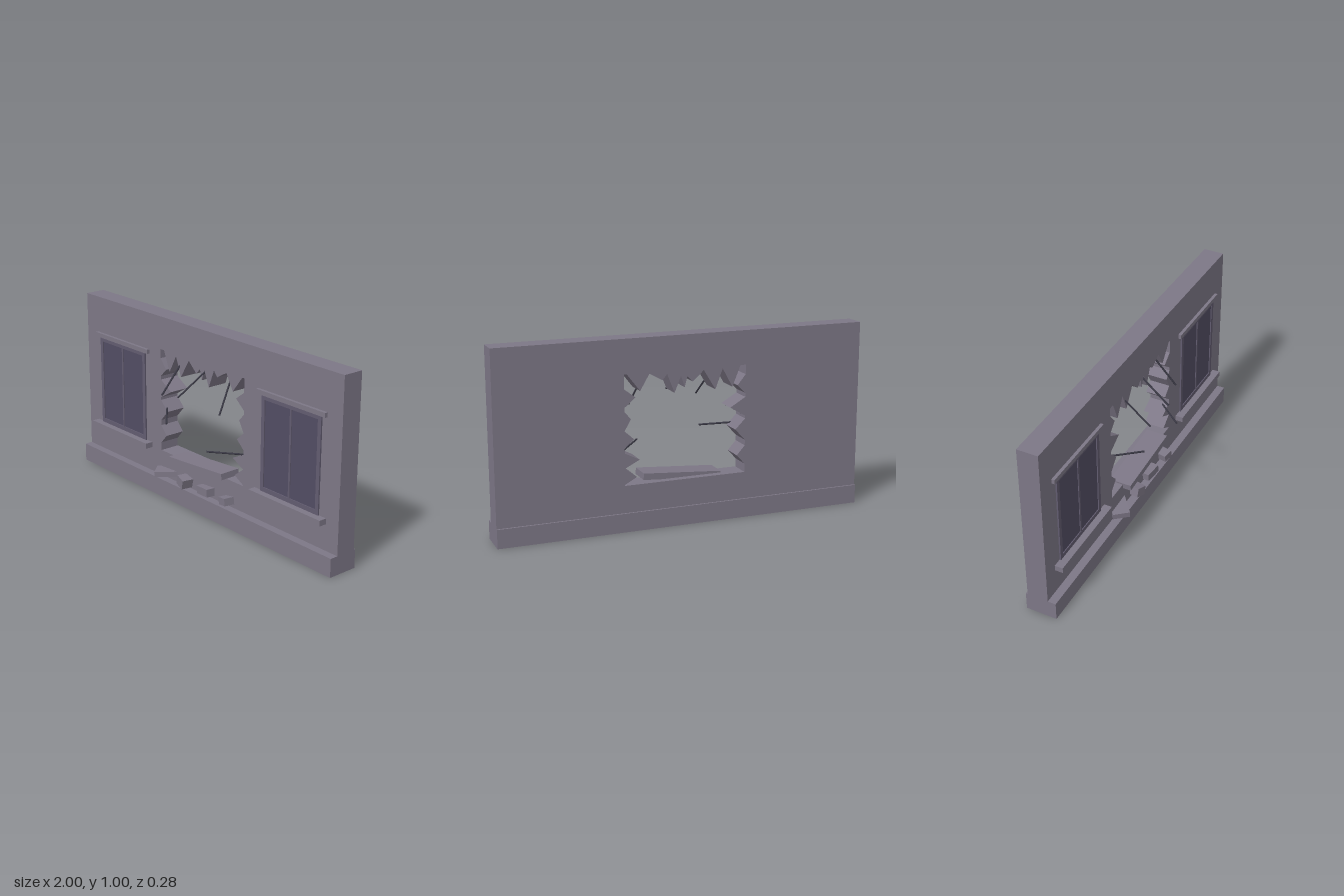
import * as THREE from 'three';

const mat = (name, color) => {
  const m = new THREE.MeshStandardMaterial({ color });
  m.name = name;
  return m;
};

export function createModel() {
  const root = new THREE.Group();
  root.name = 'breachedWall';
  const stone = mat('greyStone', 0x7d7786);
  const frameMat = mat('windowFrame', 0x625c70);
  const glassMat = mat('darkGlass', 0x524d63);
  const iron = mat('darkIron', 0x3a3945);

  const add = (name, geo, material, parent = root) => {
    const m = new THREE.Mesh(geo, material);
    m.name = name;
    parent.add(m);
    return m;
  };
  // Box given by its minimum and maximum on each axis
  const box = (name, [x0, x1], [y0, y1], [z0, z1], material, parent) => {
    const m = add(name, new THREE.BoxGeometry(x1 - x0, y1 - y0, z1 - z0), material, parent);
    m.position.set((x0 + x1) / 2, (y0 + y1) / 2, (z0 + z1) / 2);
    return m;
  };

  // Wall with a jagged breach
  const wall = new THREE.Shape();
  wall.moveTo(-1, 0.05).lineTo(1, 0.05).lineTo(1, 1).lineTo(-1, 1).closePath();
  const breach = [
    // left edge, going up
    [-0.335, 0.245], [-0.335, 0.29], [-0.29, 0.34], [-0.335, 0.39], [-0.335, 0.42],
    [-0.28, 0.48], [-0.335, 0.535], [-0.335, 0.55], [-0.25, 0.6], [-0.335, 0.65],
    [-0.335, 0.67], [-0.29, 0.715], [-0.335, 0.77], [-0.335, 0.82],
    // top edge, going right
    [-0.305, 0.82], [-0.26, 0.71], [-0.205, 0.81], [-0.165, 0.705], [-0.1, 0.81],
    [-0.04, 0.755], [-0.01, 0.785], [0.005, 0.73], [0.025, 0.79], [0.06, 0.705],
    [0.1, 0.805], [0.125, 0.775], [0.195, 0.815], [0.245, 0.73], [0.315, 0.82], [0.33, 0.82],
    // right edge, going down
    [0.33, 0.745], [0.27, 0.7], [0.33, 0.65], [0.33, 0.63], [0.295, 0.59], [0.33, 0.53],
    [0.28, 0.485], [0.33, 0.44], [0.33, 0.415], [0.25, 0.375], [0.33, 0.335],
    [0.265, 0.285], [0.33, 0.25], [0.33, 0.245],
  ];
  wall.holes.push(new THREE.Path(breach.map(([x, y]) => new THREE.Vector2(x, y))));
  const wallGeo = new THREE.ExtrudeGeometry(wall, { depth: 0.113, bevelEnabled: false });
  add('wall', wallGeo, stone).position.z = -0.13;

  // Plinth along the foot
  box('plinth', [-1, 1], [0, 0.1], [-0.14, 0.027], stone);

  // Two matching windows
  for (const side of [-1, 1]) {
    const w = new THREE.Group();
    w.name = side > 0 ? 'leftWindow' : 'rightWindow';
    w.position.x = side * 0.668;
    root.add(w);
    box('lintel', [-0.235, 0.235], [0.773, 0.797], [-0.05, 0], stone, w);
    box('sill', [-0.25, 0.25], [0.238, 0.268], [-0.05, 0.027], stone, w);
    box('glass', [-0.18, 0.18], [0.29, 0.752], [-0.03, -0.014], glassMat, w);
    for (const s of [-1, 1]) {
      box('frameSide', [s * 0.192 - 0.011, s * 0.192 + 0.011], [0.268, 0.773], [-0.03, -0.009], frameMat, w);
    }
    box('frameTop', [-0.181, 0.181], [0.75, 0.773], [-0.03, -0.009], frameMat, w);
    box('frameBottom', [-0.181, 0.181], [0.268, 0.292], [-0.03, -0.009], frameMat, w);
    box('mullion', [-0.006, 0.006], [0.292, 0.75], [-0.03, -0.01], frameMat, w);
  }

  // Bent reinforcing bars sticking out of the breach
  const bars = [
    [[-0.178, 0.775, -0.03], [-0.16, 0.635, 0.115]],
    [[0.023, 0.785, -0.035], [0, 0.668, 0.138]],
    [[0.197, 0.8, -0.056], [0.238, 0.62, 0.065]],
    [[-0.3, 0.495, -0.03], [-0.165, 0.468, 0.083]],
    [[0.335, 0.402, -0.07], [0.182, 0.418, 0.1]],
  ];
  for (const [a, b] of bars) {
    const p = new THREE.Vector3(...a), q = new THREE.Vector3(...b);
    const dir = q.clone().sub(p);
    const bar = add('reinforcingBar', new THREE.CylinderGeometry(0.005, 0.005, dir.length(), 6), iron);
    bar.position.copy(p).add(q).multiplyScalar(0.5);
    bar.quaternion.setFromUnitVectors(new THREE.Vector3(0, 1, 0), dir.normalize());
  }

  // Fallen slab and rubble: size, position, turn about y, tilt about z
  const rubble = [
    ['fallenSlab', [0.43, 0.034, 0.12], [0, 0.253, -0.031], 0, 0.075],
    ['rubbleBlock', [0.13, 0.032, 0.09], [-0.275, 0.139, -0.01], 0.7, 0.07],
    ['rubbleBlock', [0.062, 0.052, 0.07], [-0.105, 0.14, 0.005], -0.2, -0.24],
    ['rubbleBlock', [0.095, 0.043, 0.06], [0.06, 0.138, -0.003], -0.12, 0.07],
    ['rubbleBlock', [0.058, 0.04, 0.07], [0.23, 0.138, 0], -0.18, 0.15],
  ];
  for (const [name, size, pos, turn, tilt] of rubble) {
    const m = add(name, new THREE.BoxGeometry(...size), stone);
    m.position.set(...pos);
    m.rotation.set(0, turn, tilt);
  }
  return root;
}
